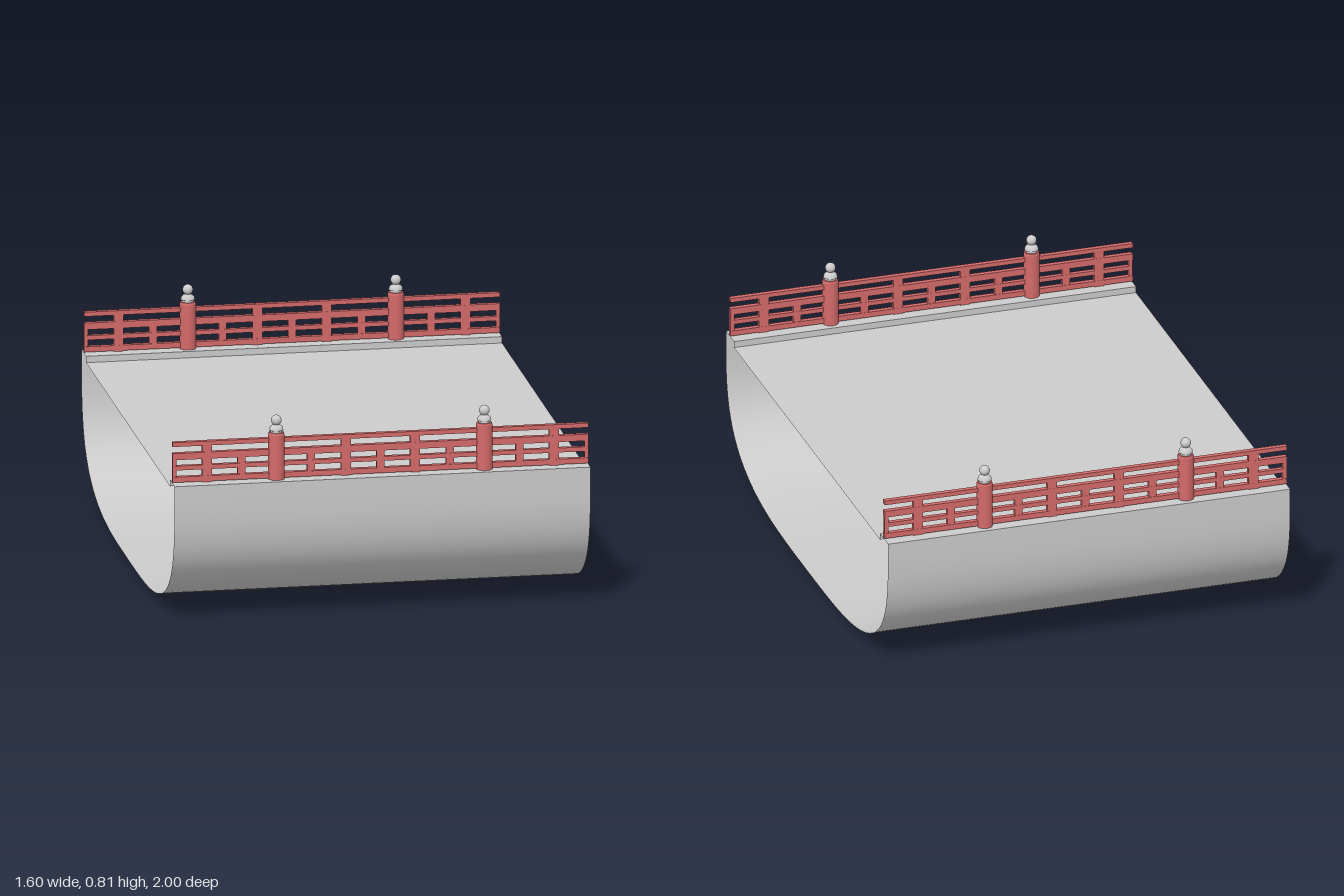
import * as THREE from 'three';

const HALF = 0.8;          // half length along x
const CURB_Y = 0.555;      // top of the shell and curbs
const DECK_Y = 0.53;
const RAIL_Z = 0.95;

const grey = new THREE.MeshStandardMaterial({ color: 0xcccccc });
const greySheet = new THREE.MeshStandardMaterial({ color: 0xcccccc, side: THREE.DoubleSide });
const red = new THREE.MeshStandardMaterial({ color: 0xd46a6a });

function add(parent, name, geometry, material, x = 0, y = 0, z = 0) {
  const mesh = new THREE.Mesh(geometry, material);
  mesh.name = name;
  mesh.position.set(x, y, z);
  parent.add(mesh);
  return mesh;
}

// Open sheet: a [z, y] profile swept along x
function sweep(profile, smooth) {
  const positions = [], index = [];
  profile.forEach(([z, y], i) => {
    positions.push(-HALF, y, z, HALF, y, z);
    if (i === 0) return;
    const a = 2 * (i - 1);
    index.push(a, a + 1, a + 2, a + 1, a + 3, a + 2);
  });
  let g = new THREE.BufferGeometry();
  g.setAttribute('position', new THREE.Float32BufferAttribute(positions, 3));
  g.setIndex(index);
  if (!smooth) g = g.toNonIndexed();
  g.computeVertexNormals();
  return g;
}

// Rounded trough profile (superellipse), from back rim to front rim
function shellProfile() {
  const n = 3.4, steps = 64, points = [];
  for (let i = 0; i <= steps; i++) {
    const t = (Math.PI * i) / steps;
    const c = Math.cos(t), s = Math.max(0, Math.sin(t));
    points.push([
      -Math.sign(c) * Math.pow(Math.abs(c), 2 / n),
      CURB_Y * (1 - Math.pow(s, 2 / n)),
    ]);
  }
  return points;
}

// Round post with a collar and ball on top
function buildPost(x) {
  const post = new THREE.Group();
  post.name = 'post';
  post.position.x = x;
  const body = [[0, 0.541], [0.031, 0.541], [0.031, 0.541], [0.031, 0.73], [0.031, 0.73], [0.028, 0.738], [0.028, 0.738], [0, 0.738]];
  const cap = [[0.022, 0.736], [0.022, 0.745], [0.022, 0.745], [0.027, 0.747], [0.027, 0.747], [0.025, 0.757],
    [0.018, 0.764], [0.01, 0.766], [0.01, 0.775]];
  const lathe = (pts) => new THREE.LatheGeometry(pts.map(([r, y]) => new THREE.Vector2(r, y)), 24);
  add(post, 'postBody', lathe(body), red);
  add(post, 'postCollar', lathe(cap), grey);
  add(post, 'postBall', new THREE.SphereGeometry(0.02, 20, 14), grey, 0, 0.785, 0);
  return post;
}

function buildRailing(z) {
  const railing = new THREE.Group();
  railing.name = 'railing';
  railing.position.z = z;

  // Horizontal rails: bottom and top heights, depth
  for (const [name, y0, y1, depth] of [
    ['topRail', 0.7, 0.717, 0.02],
    ['upperRail', 0.648, 0.674, 0.02],
    ['middleRail', 0.607, 0.624, 0.018],
    ['bottomRail', 0.56, 0.581, 0.02],
  ]) {
    add(railing, name, new THREE.BoxGeometry(2 * HALF, y1 - y0, depth), red, 0, (y0 + y1) / 2);
  }

  // Tall uprights reach the top rail
  for (const x of [-0.667, -0.133, 0.133, 0.667]) {
    add(railing, 'tallUpright', new THREE.BoxGeometry(0.038, 0.148, 0.019), red, x, 0.631);
  }
  // Short uprights stop at the upper rail
  for (const x of [-0.535, -0.267, 0, 0.267, 0.535]) {
    add(railing, 'shortUpright', new THREE.BoxGeometry(0.03, 0.09, 0.017), red, x, 0.613);
  }
  for (const s of [-1, 1]) {
    add(railing, 'endUpright', new THREE.BoxGeometry(0.015, 0.09, 0.017), red, s * (HALF - 0.0075), 0.613);
    railing.add(buildPost(s * 0.4));
  }
  return railing;
}

export function createModel() {
  const model = new THREE.Group();
  model.name = 'bridgeSection';

  // Curved underside, open at both ends
  add(model, 'shell', sweep(shellProfile(), true), greySheet);

  // Deck between raised curbs
  add(model, 'deck', sweep([[0.9, DECK_Y], [-0.9, DECK_Y]], false), greySheet);
  add(model, 'frontCurb', sweep([[1, CURB_Y], [0.9, CURB_Y], [0.9, DECK_Y]], false), greySheet);
  add(model, 'backCurb', sweep([[-0.9, DECK_Y], [-0.9, CURB_Y], [-1, CURB_Y]], false), greySheet);

  for (const s of [-1, 1]) model.add(buildRailing(s * RAIL_Z));
  return model;
}
